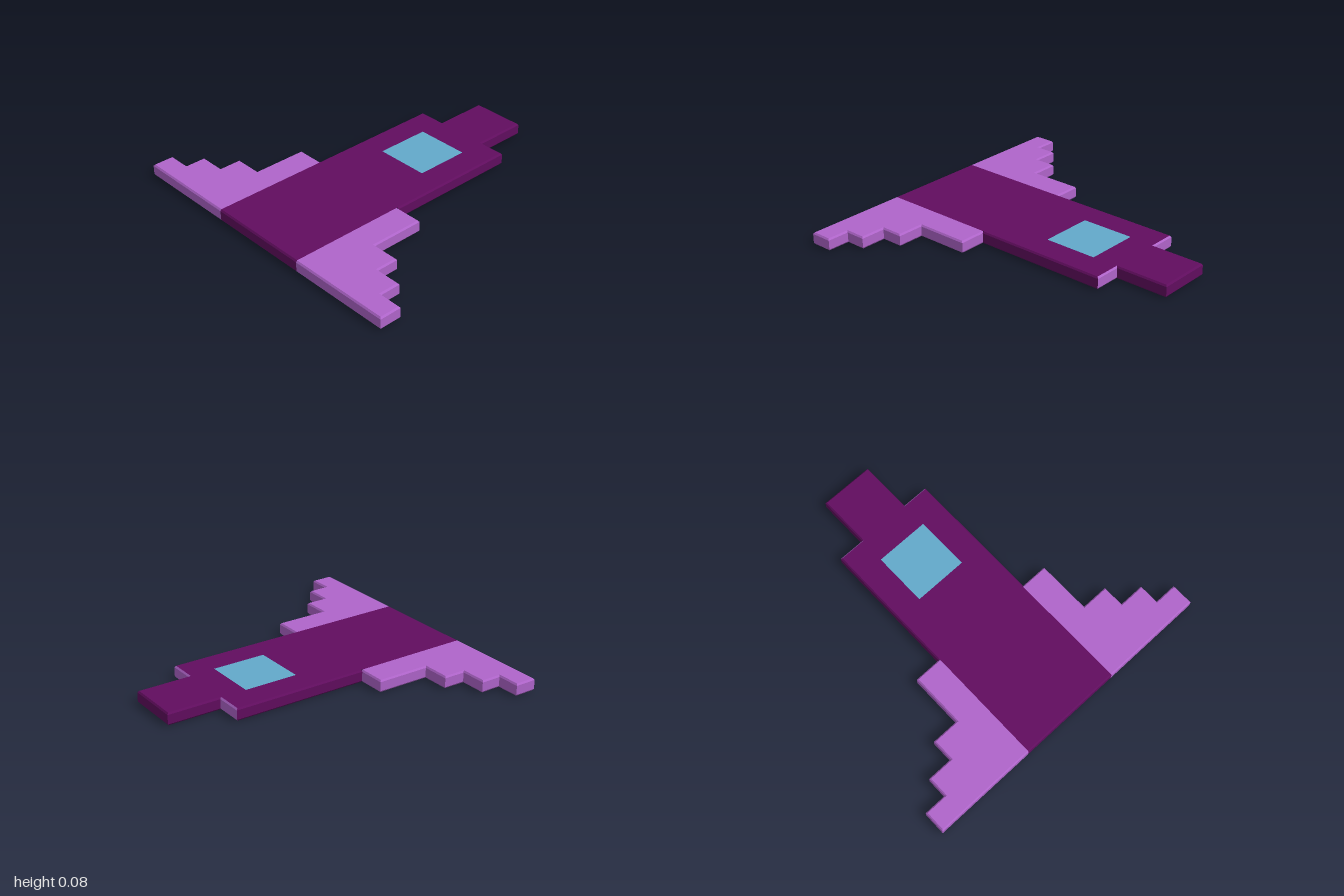
import * as THREE from 'three';

const DARK = 0x610d5f, LIGHT = 0xb065cb, GLASS = 0x62a9cb;
const BEVEL = 0.008;
// Height levels of the plate: [y, inset]
const LEVELS = [[0, BEVEL], [0.01, 0], [0.068, 0], [0.078, BEVEL]];

// Bevelled plate from a stepped outline of [x, z, edge], listed clockwise from above.
// edge describes the side to the next point: 0 open seam, 1 main colour, 2 trim colour.
// The outline is built once for each sign in sides (-1 mirrors it across x = 0).
function plate(name, outline, sides, colors) {
  const n = outline.length;
  const positions = [[], []];

  // Inward direction of each edge, zero on seams
  const inward = outline.map(([x, z, edge], i) => {
    const [nx, nz] = outline[(i + 1) % n];
    return edge ? [-Math.sign(nz - z), Math.sign(nx - x)] : [0, 0];
  });
  const rings = LEVELS.map(([y, inset]) => outline.map(([x, z], i) => {
    const a = inward[(i + n - 1) % n], b = inward[i];
    return [x + inset * (a[0] + b[0]), y, z + inset * (a[1] + b[1])];
  }));
  const caps = THREE.ShapeUtils.triangulateShape(
    outline.map(([x, z]) => new THREE.Vector2(x, z)), []);

  for (const s of sides) {
    const tri = (slot, a, b, c) => {
      for (const p of s > 0 ? [a, b, c] : [a, c, b]) positions[slot].push(s * p[0], p[1], p[2]);
    };
    // Top and bottom
    const bottom = rings[0], top = rings[rings.length - 1];
    for (const [a, b, c] of caps) {
      tri(0, top[a], top[c], top[b]);
      tri(0, bottom[a], bottom[b], bottom[c]);
    }
    // Side walls with their bevels
    outline.forEach(([, , edge], i) => {
      if (!edge) return;
      const j = (i + 1) % n;
      for (let k = 0; k < rings.length - 1; k++) {
        const lo = rings[k], hi = rings[k + 1];
        tri(edge - 1, lo[i], hi[i], hi[j]);
        tri(edge - 1, lo[i], hi[j], lo[j]);
      }
    });
  }

  const group = new THREE.Group();
  group.name = name;
  positions.forEach((list, slot) => {
    if (!list.length) return;
    const geometry = new THREE.BufferGeometry();
    geometry.setAttribute('position', new THREE.Float32BufferAttribute(list, 3));
    geometry.computeVertexNormals();
    const mesh = new THREE.Mesh(geometry, new THREE.MeshStandardMaterial({ color: colors[slot] }));
    mesh.name = slot ? name + 'Trim' : name + 'Plate';
    group.add(mesh);
  });
  return group;
}

export function createModel() {
  const model = new THREE.Group();
  model.name = 'flatShip';
  const seam = 0.343 - BEVEL;

  // Fuselage half with narrow nose, light shoulders and a window notch
  const fuselage = [
    [0, -0.98, 1], [0.172, -0.98, 1], [0.172, -0.64, 2], [0.343, -0.64, 1],
    [0.343, 0.23, 0], [seam, 0.23, 0], [seam, 0.98, 1], [0, 0.98, 0],
    [0, -0.125, 0], [0.172, -0.125, 0], [0.172, -0.47, 0], [0, -0.47, 0],
  ];
  model.add(plate('fuselage', fuselage, [1, -1], [DARK, LIGHT]));

  // Window, flush with both faces
  const pane = [[0, -0.47, 0], [0.172, -0.47, 0], [0.172, -0.125, 0], [0, -0.125, 0]];
  model.add(plate('window', pane, [1, -1], [GLASS]));

  // Stepped wings
  const wing = [[seam, 0.23, 1]];
  const steps = [[0.515, 0.23], [0.69, 0.57], [0.855, 0.71], [1, 0.84]];
  steps.forEach(([x, z], i) => {
    const nextZ = i < steps.length - 1 ? steps[i + 1][1] : 0.98;
    wing.push([x, z, 1], [x, nextZ, 1]);
  });
  wing.push([seam, 0.98, 0]);
  model.add(plate('leftWing', wing, [1], [LIGHT]));
  model.add(plate('rightWing', wing, [-1], [LIGHT]));

  return model;
}
